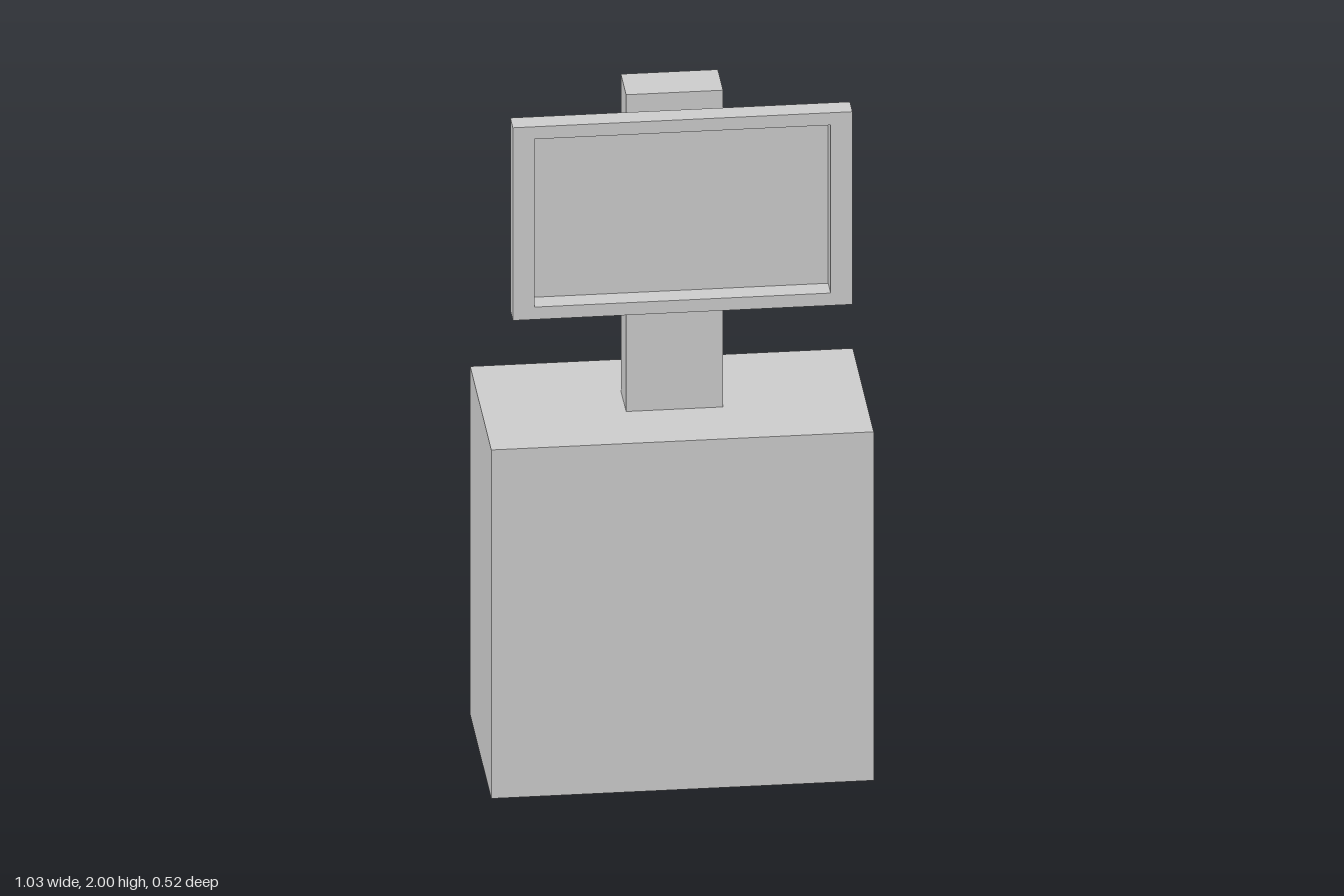
import * as THREE from 'three';

const material = new THREE.MeshStandardMaterial({ color: 0xcccccc });

function addPart(group, name, geometry) {
  const mesh = new THREE.Mesh(geometry, material);
  mesh.name = name;
  group.add(mesh);
  return mesh;
}

// Box given by its half width and its y and z limits
function slab(halfX, y0, y1, z0, z1) {
  return new THREE.BoxGeometry(halfX * 2, y1 - y0, z1 - z0)
    .translate(0, (y0 + y1) / 2, (z0 + z1) / 2);
}

// Rectangular funnel; each side is smooth along its length, corners stay sharp
function funnel(rings) {
  const corners = [[1, 1], [-1, 1], [-1, -1], [1, -1]];
  const positions = [];
  const indices = [];
  for (let side = 0; side < 4; side++) {
    const start = positions.length / 3;
    for (const { z, halfX, y0, y1 } of rings) {
      for (const [sx, sy] of [corners[side], corners[(side + 1) % 4]]) {
        positions.push(sx * halfX, sy > 0 ? y1 : y0, z);
      }
    }
    for (let r = 0; r < rings.length - 1; r++) {
      const a = start + r * 2;
      indices.push(a, a + 1, a + 3, a, a + 3, a + 2);
    }
  }
  const geometry = new THREE.BufferGeometry();
  geometry.setAttribute('position', new THREE.Float32BufferAttribute(positions, 3));
  geometry.setIndex(indices);
  geometry.computeVertexNormals();
  return geometry;
}

// Adds a rectangle's corners to a path
function rectangle(path, halfX, y0, y1) {
  path.moveTo(-halfX, y0);
  path.lineTo(halfX, y0);
  path.lineTo(halfX, y1);
  path.lineTo(-halfX, y1);
  path.closePath();
  return path;
}

export function createModel() {
  const group = new THREE.Group();
  group.name = 'screenOnPedestal';

  // Pedestal and upright post
  addPart(group, 'base', slab(0.517, 0, 1.04, -0.262, 0.258));
  addPart(group, 'post', slab(0.131, 1.04, 1.985, -0.068, 0.061));

  // Screen head: rim, recessed panel and flared housing with neck
  const head = new THREE.Group();
  head.name = 'screenHead';
  group.add(head);

  const rim = rectangle(new THREE.Shape(), 0.459, 1.425, 2);
  rim.holes.push(rectangle(new THREE.Path(), 0.4, 1.462, 1.963));
  const rimGeometry = new THREE.ExtrudeGeometry(rim, { depth: 0.062, bevelEnabled: false });
  addPart(head, 'screenRim', rimGeometry.translate(0, 0, 0.2));

  addPart(head, 'screenPanel',
    new THREE.PlaneGeometry(0.8, 0.501).translate(0, 1.7125, 0.201));

  addPart(head, 'housing', funnel([
    { z: 0.061, halfX: 0.131, y0: 1.625, y1: 1.8 },
    { z: 0.118, halfX: 0.131, y0: 1.625, y1: 1.8 },
    { z: 0.2, halfX: 0.459, y0: 1.425, y1: 2 },
  ]));

  return group;
}
